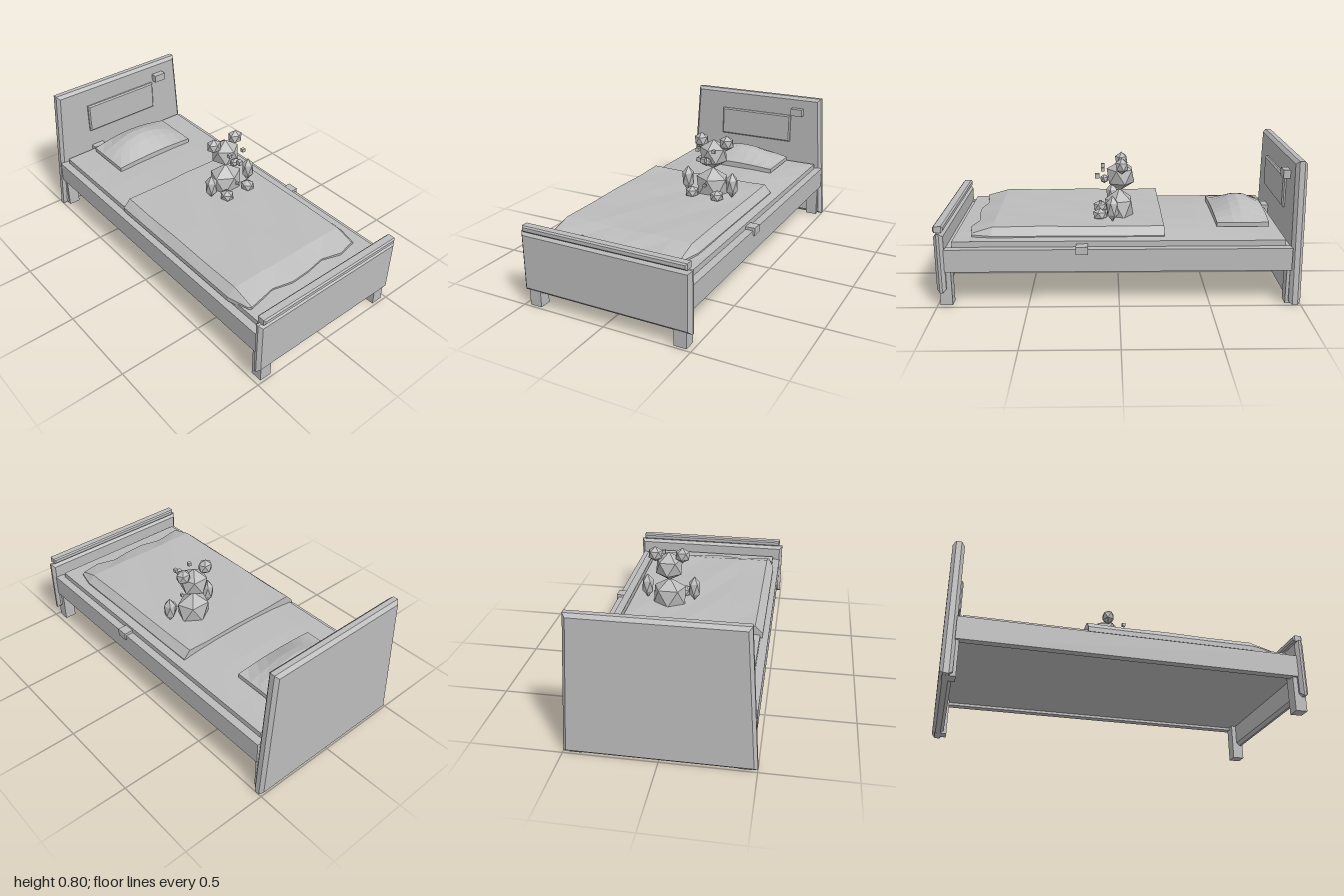
import * as THREE from 'three';

export function createModel() {
  const bed = new THREE.Group();
  bed.name = 'bedWithTeddy';
  const grey = new THREE.MeshStandardMaterial({ color: 0xbcbcbc });
  grey.name = 'plainGrey';
  grey.flatShading = true;

  const add = (name, geometry, x = 0, y = 0, z = 0, parent = bed) => {
    const mesh = new THREE.Mesh(geometry, grey);
    mesh.name = name;
    mesh.position.set(x, y, z);
    parent.add(mesh);
    return mesh;
  };
  // Box given by its limits
  const box = (name, x0, x1, y0, y1, z0, z1, parent) =>
    add(name, new THREE.BoxGeometry(x1 - x0, y1 - y0, z1 - z0),
      (x0 + x1) / 2, (y0 + y1) / 2, (z0 + z1) / 2, parent);

  // Chamfered board facing z, optionally narrower at the top
  const board = (name, wBottom, wTop, y0, y1, z0, z1, bevel) => {
    const b = wBottom / 2 - bevel, t = wTop / 2 - bevel;
    const shape = new THREE.Shape([[-b, y0 + bevel], [b, y0 + bevel], [t, y1 - bevel], [-t, y1 - bevel]]
      .map(([x, y]) => new THREE.Vector2(x, y)));
    const depth = z1 - z0 - 2 * bevel;
    const g = new THREE.ExtrudeGeometry(shape, {
      depth, bevelEnabled: true, bevelSize: bevel, bevelThickness: bevel, bevelSegments: 1,
    });
    return add(name, g, 0, 0, z0 + bevel);
  };

  // Slab whose vertices are moved by a rule: u, v run 0..1 along x, z
  const slab = (name, nx, nz, rule) => {
    const g = new THREE.BoxGeometry(1, 1, 1, nx, 1, nz);
    const p = g.attributes.position;
    for (let i = 0; i < p.count; i++) {
      p.setXYZ(i, ...rule(p.getX(i) + 0.5, p.getZ(i) + 0.5, p.getY(i) > 0));
    }
    return add(name, g);
  };

  // Frame
  board('headboard', 1.0, 0.895, 0, 0.8, -1, -0.935, 0.018);
  board('headboardPanel', 0.5, 0.5, 0.49, 0.672, -0.95, -0.918, 0.008);
  board('footboard', 1.0, 1.0, 0.083, 0.422, 0.945, 0.995, 0.018);
  board('footboardCap', 0.96, 0.96, 0.425, 0.46, 0.945, 1, 0.008);
  for (const s of [-1, 1]) {
    const rail = [s * 0.44, s * 0.485].sort((a, b) => a - b);
    box('sideRail', ...rail, 0.2, 0.328, -0.94, 0.95);
    const leg = [s * 0.4, s * 0.47].sort((a, b) => a - b);
    box('frontLeg', ...leg, 0, 0.24, 0.918, 0.985);
    box('backLeg', ...leg, 0, 0.24, -0.985, -0.918);
  }
  box('bedBase', -0.44, 0.44, 0.215, 0.325, -0.94, 0.945);

  // Small fittings
  box('railTag', 0.435, 0.495, 0.3, 0.345, 0.17, 0.235);
  box('headboardBlock', 0.26, 0.337, 0.68, 0.726, -0.94, -0.897);
  box('lowerHeadboardBlock', -0.245, -0.165, 0.33, 0.376, -0.94, -0.897);

  // Mattress with a gently crowned top
  slab('mattress', 6, 8, (u, v, top) => {
    const crown = Math.min(1, 4 * Math.min(u, 1 - u)) * Math.min(1, 5 * Math.min(v, 1 - v));
    return [-0.44 + 0.88 * u, top ? 0.36 + 0.028 * crown : 0.31, -0.91 + 1.82 * v];
  });

  // Blanket, draped at the sides and sloping down to a wavy foot end
  const rows = [-0.25, -0.05, 0.2, 0.45, 0.7, 0.82];
  const columns = [-0.455, -0.41, -0.24, -0.12, 0, 0.12, 0.24, 0.35, 0.39];
  slab('blanket', 8, 5, (u, v, top) => {
    const i = Math.round(u * 8), j = Math.round(v * 5);
    const side = i === 0 || i === 8, end = j === 5;
    const x = end && side ? columns[i] * 0.93 : columns[i];
    const z = rows[j] + (end ? 0.018 * Math.sin(i * 2.3) : 0);
    const ripple = 0.003 * Math.sin(i * 1.9 + j * 2.7);
    if (!top) return [x, 0.345, z];
    return [x, side ? 0.372 : end ? 0.378 : 0.415 + ripple, z];
  });

  // Pillow, arched both ways
  const pillowTop = [0.012, 0.065, 0.083, 0.078, 0.035];
  const pillowZ = [-0.555, -0.65, -0.7, -0.76, -0.85];
  slab('pillow', 8, 4, (u, v, top) => {
    const j = 4 - Math.round(v * 4);
    const arch = Math.sin(Math.PI * u);
    return [-0.27 + 0.535 * u, top ? 0.405 + pillowTop[j] * arch : 0.38, pillowZ[j]];
  });

  // Teddy from faceted balls with a vertex pointing up
  const teddy = new THREE.Group();
  teddy.name = 'teddy';
  teddy.position.x = 0.12;
  bed.add(teddy);
  const ball = (name, x, y, z, rx, ry = rx, rz = rx) => {
    const g = new THREE.IcosahedronGeometry(1, 0);
    g.rotateX(-Math.atan((1 + Math.sqrt(5)) / 2));
    g.scale(rx, ry, rz);
    return add(name, g, x, y, z, teddy);
  };
  const cube = (name, x, y, z, size) =>
    add(name, new THREE.BoxGeometry(size, size, size), x, y, z, teddy);

  ball('body', 0, 0.457, -0.005, 0.11, 0.11, 0.092);
  ball('head', 0, 0.645, -0.012, 0.088);
  ball('snout', 0, 0.625, 0.08, 0.034, 0.026, 0.026);
  cube('nose', 0, 0.643, 0.12, 0.026);
  cube('button', 0, 0.487, 0.103, 0.016);
  for (const s of [-1, 1]) {
    ball('ear', s * 0.08, 0.718, -0.018, 0.046, 0.046, 0.04);
    cube('eye', s * 0.05, 0.693, 0.088, 0.02);
    ball('arm', s * 0.142, 0.49, 0.035, 0.038, 0.076, 0.038);
    ball('foot', s * 0.08, 0.436, 0.105, 0.041, 0.036, 0.045);
  }
  return bed;
}
